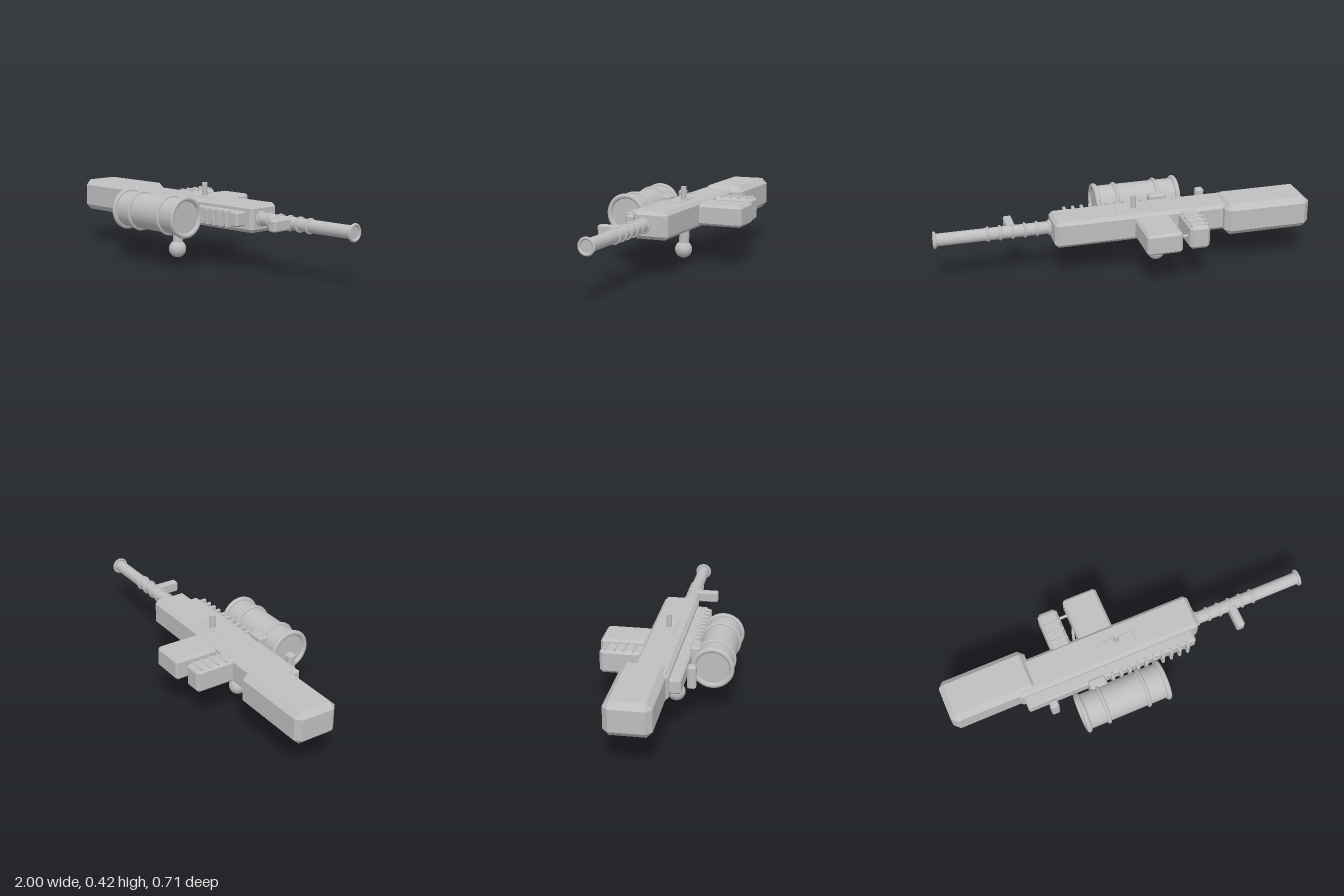
import * as THREE from 'three';
import { ConvexGeometry } from 'three/addons/geometries/ConvexGeometry.js';

export function createModel() {
  const model = new THREE.Group();
  const grey = new THREE.MeshStandardMaterial({ color: 0xbebebe });
  grey.name = 'light grey';

  const add = (name, geometry, x = 0, y = 0, z = 0) => {
    const mesh = new THREE.Mesh(geometry, grey);
    mesh.name = name;
    mesh.position.set(x, y, z);
    model.add(mesh);
    return mesh;
  };

  // Box with flat chamfers on every edge, given by its extents
  const chamferBox = (name, [x0, x1], [y0, y1], [z0, z1], c) => {
    const h = [(x1 - x0) / 2, (y1 - y0) / 2, (z1 - z0) / 2];
    const points = [];
    for (const sx of [-1, 1]) for (const sy of [-1, 1]) for (const sz of [-1, 1]) {
      for (let full = 0; full < 3; full++) {
        const p = h.map((v, i) => (i === full ? v : v - c));
        points.push(new THREE.Vector3(p[0] * sx, p[1] * sy, p[2] * sz));
      }
    }
    return add(name, new ConvexGeometry(points), (x0 + x1) / 2, (y0 + y1) / 2, (z0 + z1) / 2);
  };

  // Cylinder between two points
  const rod = (name, a, b, r, sides = 32) => {
    const from = new THREE.Vector3(...a), to = new THREE.Vector3(...b);
    const dir = to.clone().sub(from);
    const mid = from.clone().add(to).multiplyScalar(0.5);
    const mesh = add(name, new THREE.CylinderGeometry(r, r, dir.length(), sides), mid.x, mid.y, mid.z);
    mesh.quaternion.setFromUnitVectors(new THREE.Vector3(0, 1, 0), dir.normalize());
    return mesh;
  };

  // Ring around the x axis
  const ring = (name, x, y, z, r, tube) => {
    add(name, new THREE.TorusGeometry(r, tube, 12, 40), x, y, z).rotation.y = Math.PI / 2;
  };

  // Main body and stock
  chamferBox('receiver', [-0.64, 0.385], [0.203, 0.346], [-0.122, 0.068], 0.018);
  chamferBox('stock', [-1, -0.525], [0.187, 0.362], [-0.18, 0.055], 0.03);

  // Grip with ribs, and magazine
  chamferBox('grip', [-0.385, -0.277], [0.211, 0.339], [-0.33, -0.1], 0.016);
  for (let i = 0; i < 4; i++) {
    const z = -0.155 - i * 0.0485;
    rod('gripRib', [-0.38, 0.34, z], [-0.283, 0.34, z], 0.006, 12);
  }
  chamferBox('magazine', [-0.23, -0.04], [0.217, 0.33], [-0.357, -0.1], 0.013);

  // Trigger and its guard
  rod('triggerGuard', [-0.29, 0.275, -0.285], [-0.22, 0.275, -0.285], 0.008, 12);
  const triggerCurve = new THREE.QuadraticBezierCurve3(
    new THREE.Vector3(-0.255, 0.275, -0.11),
    new THREE.Vector3(-0.25, 0.275, -0.16),
    new THREE.Vector3(-0.23, 0.275, -0.205));
  add('trigger', new THREE.TubeGeometry(triggerCurve, 12, 0.008, 10));

  // Barrel with cooling rings, muzzle and sight post
  const by = 0.275, bz = 0.005;
  rod('barrel', [0.36, by, bz], [0.99, by, bz], 0.033);
  for (let i = 0; i < 6; i++) ring('barrelRing', 0.394 + i * 0.0647, by, bz, 0.034, 0.007);
  ring('muzzleRing', 0.991, by, bz, 0.0385, 0.0075);
  chamferBox('barrelPost', [0.57, 0.614], [0.245, 0.305], [0.0, 0.147], 0.007);

  // Side rail with upright ribs
  chamferBox('rail', [-0.612, 0.337], [0.237, 0.314], [0.06, 0.127], 0.008);
  for (let i = 0; i < 10; i++) {
    const x = -0.145 + i * 0.0475;
    chamferBox('railRib', [x - 0.008, x + 0.008], [0.231, 0.32], [0.115, 0.152], 0.004);
  }

  // Scope with bands and mounts
  const sy = 0.274, sz = 0.246;
  rod('scopeTube', [-0.362, sy, sz], [0.087, sy, sz], 0.095, 48);
  for (const x of [-0.362, 0.087]) ring('scopeEndRing', x, sy, sz, 0.097, 0.0135);
  for (const x of [-0.25, -0.024]) ring('scopeBand', x, sy, sz, 0.097, 0.01);
  chamferBox('scopeMount', [-0.28, -0.187], [0.214, 0.339], [0.117, 0.17], 0.008);
  chamferBox('sightBlock', [-0.506, -0.461], [0.216, 0.337], [0.138, 0.182], 0.008);

  // Bolt handle with ball
  rod('boltHandle', [-0.202, 0.26, 0.024], [-0.202, 0.06, 0.036], 0.028);
  add('boltBall', new THREE.SphereGeometry(0.0475, 32, 20), -0.202, 0.0475, 0.037);

  // Top plate, knob and pin
  chamferBox('topPlate', [-0.153, 0.04], [0.335, 0.351], [-0.046, 0.016], 0.003);
  rod('knob', [-0.055, 0.34, -0.027], [-0.055, 0.42, -0.027], 0.015, 24);
  rod('pin', [-0.3, 0.2, 0.035], [-0.3, 0.349, 0.035], 0.015, 24);

  return model;
}
